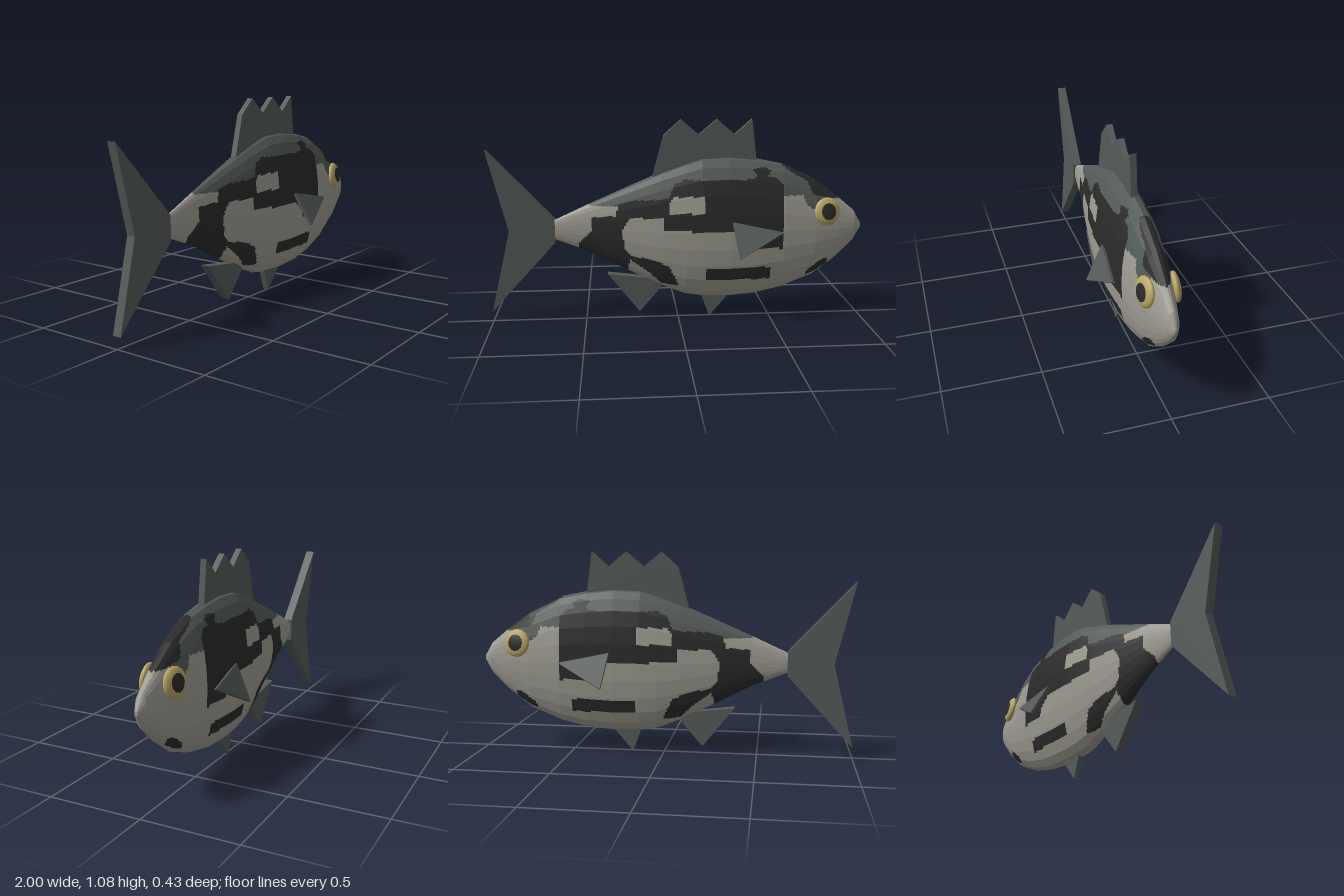
import * as THREE from 'three';

const mat = (name, color) => {
  const m = new THREE.MeshStandardMaterial({ color });
  m.name = name;
  return m;
};

// body stations: x, top y, bottom y, half width
const STATIONS = [
  [-0.67, 0.505, 0.495, 0.003], [-0.66, 0.553, 0.45, 0.014], [-0.47, 0.64, 0.375, 0.035],
  [-0.26, 0.732, 0.265, 0.068], [-0.09, 0.805, 0.18, 0.093], [0.035, 0.85, 0.13, 0.107],
  [0.125, 0.878, 0.115, 0.114], [0.27, 0.885, 0.11, 0.117], [0.42, 0.87, 0.122, 0.113],
  [0.565, 0.84, 0.155, 0.104], [0.735, 0.757, 0.222, 0.082], [0.865, 0.66, 0.32, 0.056],
  [0.96, 0.58, 0.415, 0.032], [1.0, 0.51, 0.485, 0.008], [1.001, 0.498, 0.497, 0.001],
];

// painted areas in side projection; later entries cover earlier ones
// material index: 0 silver, 1 slate, 2 black
const PAINT = [
  [1, [[-.47, .63], [-.3, .63], [.4, .62], [.55, .68], [.66, .68], [.69, .62], [.74, .6], [.8, .66],
    [.87, .67], [.9, .95], [-.47, .95]]],
  [2, [[-.53, .43], [-.46, .5], [-.46, .57], [-.33, .58], [-.32, .64], [-.25, .66], [-.06, .67], [-.04, .7],
    [-.03, .74], [.03, .77], [.39, .77], [.42, .79], [.39, .82], [.46, .83], [.49, .81], [.47, .78],
    [.52, .77], [.55, .74], [.55, .4], [.38, .4], [.37, .44], [.29, .5], [-.08, .5], [-.08, .57],
    [-.26, .57], [-.3, .5], [-.29, .4], [-.25, .36], [-.13, .34], [-.05, .3], [0, .19], [-.09, .2],
    [-.15, .26], [-.26, .34], [-.27, .3], [-.26, .22], [-.53, .34]]],
  [2, [[.55, .95], [.56, .83], [.62, .79], [.69, .75], [.72, .68], [.8, .66], [.87, .65], [.9, .95]]],
  [2, [[.14, .295], [.49, .295], [.49, .225], [.14, .225]]],
  [2, [[.69, .23], [.71, .27], [.78, .32], [.82, .325], [.81, .29], [.75, .25]]],
  [0, [[-.055, .585], [-.055, .65], [-.03, .68], [.13, .685], [.135, .6], [0, .59]]],
];

function inside(poly, x, y) {
  let hit = false;
  poly.forEach(([ax, ay], i) => {
    const [bx, by] = poly[(i + 1) % poly.length];
    if ((ay > y) !== (by > y) && x < ax + (bx - ax) * (y - ay) / (by - ay)) hit = !hit;
  });
  return hit;
}

// point on the 24-sided body; k runs around the ring, t along one station span
function bodyPoint(span, t, k) {
  const a = STATIONS[span], b = STATIONS[span + 1];
  const [x, top, bottom, half] = a.map((v, i) => v + (b[i] - v) * t);
  const side = Math.floor(k), f = k - side;
  const a0 = side * Math.PI / 12, a1 = (side + 1) * Math.PI / 12;
  const s = Math.sin(a0) * (1 - f) + Math.sin(a1) * f;
  const c = Math.cos(a0) * (1 - f) + Math.cos(a1) * f;
  return [x, (top + bottom) / 2 + c * (top - bottom) / 2, s * half];
}

// faceted loft, finely divided so each small cell takes its painted colour
function bodyGeometry() {
  const cells = [[], [], []], SUB = 6;
  for (let i = 0; i < STATIONS.length - 1; i++) {
    const n = Math.max(1, Math.round((STATIONS[i + 1][0] - STATIONS[i][0]) / 0.01));
    for (let j = 0; j < n; j++) {
      for (let k = 0; k < 24 * SUB; k++) {
        const a = bodyPoint(i, j / n, k / SUB), b = bodyPoint(i, (j + 1) / n, k / SUB);
        const c = bodyPoint(i, (j + 1) / n, (k + 1) / SUB), d = bodyPoint(i, j / n, (k + 1) / SUB);
        const x = (a[0] + c[0]) / 2, y = (a[1] + b[1] + c[1] + d[1]) / 4;
        let colour = 0;
        for (const [m, poly] of PAINT) if (inside(poly, x, y)) colour = m;
        cells[colour].push(...[a, d, c, a, c, b].flat());
      }
    }
  }
  const g = new THREE.BufferGeometry();
  g.setAttribute('position', new THREE.Float32BufferAttribute(cells.flat(), 3));
  let start = 0;
  cells.forEach((list, m) => {
    g.addGroup(start, list.length / 3, m);
    start += list.length / 3;
  });
  g.computeVertexNormals();
  return g;
}

export function createModel() {
  const silver = mat('silver', 0x9f9d93), slate = mat('slate', 0x545b58);
  const black = mat('black', 0x2b2b2b), gold = mat('gold', 0xb8a566);
  const model = new THREE.Group();
  model.name = 'fish';

  const add = (parent, name, geometry, material) => {
    const mesh = new THREE.Mesh(geometry, material);
    mesh.name = name;
    parent.add(mesh);
    return mesh;
  };

  // flat slab centred on its own plane
  const fin = (name, points, thickness) => {
    const shape = new THREE.Shape(points.map(([x, y]) => new THREE.Vector2(x, y)));
    const g = new THREE.ExtrudeGeometry(shape, { depth: thickness, bevelEnabled: false });
    g.translate(0, 0, -thickness / 2);
    return add(model, name, g, slate);
  };

  add(model, 'body', bodyGeometry(), [silver, slate, black]);

  // fins on the centre line
  fin('tailFin', [[-.655, .56], [-1, .93], [-.895, .5], [-1, .06], [-.655, .435]], 0.048);
  fin('dorsalFin', [[-.14, .76], [-.075, 1], [.015, 1.08], [.11, 1], [.205, 1.08], [.3, 1],
    [.39, 1.08], [.42, .84]], 0.032);
  fin('analFin', [[-.38, .255], [-.21, .04], [-.09, .18], [-.1, .22]], 0.048);
  fin('pelvicFin', [[.12, .14], [.17, 0], [.29, .14]], 0.032);

  for (const s of [1, -1]) {
    const side = s > 0 ? 'left' : 'right';

    // side fin, splayed outwards and down
    const pectoral = fin(side + 'PectoralFin', [[.28, 0], [.31, -.2], [.55, -.06]], 0.016);
    pectoral.position.set(0, 0.548, s * 0.115);
    pectoral.rotation.x = -s * 0.475;

    // eye: flattened ball with a thin pupil cap
    const eye = new THREE.Group();
    eye.name = side + 'Eye';
    eye.position.set(0.795, 0.59, s * 0.073);
    eye.lookAt(0.795 + 0.2, 0.59 + 0.16, s * 1.073);
    const ball = new THREE.SphereGeometry(1, 16, 12).rotateX(Math.PI / 2).scale(0.073, 0.076, 0.025);
    add(eye, 'eyeball', ball, gold);
    const pupil = new THREE.SphereGeometry(1, 12, 4, 0, Math.PI * 2, 0, 0.66)
      .rotateX(Math.PI / 2).scale(0.069, 0.074, 0.027);
    add(eye, 'pupil', pupil, black);
    model.add(eye);
  }
  return model;
}
